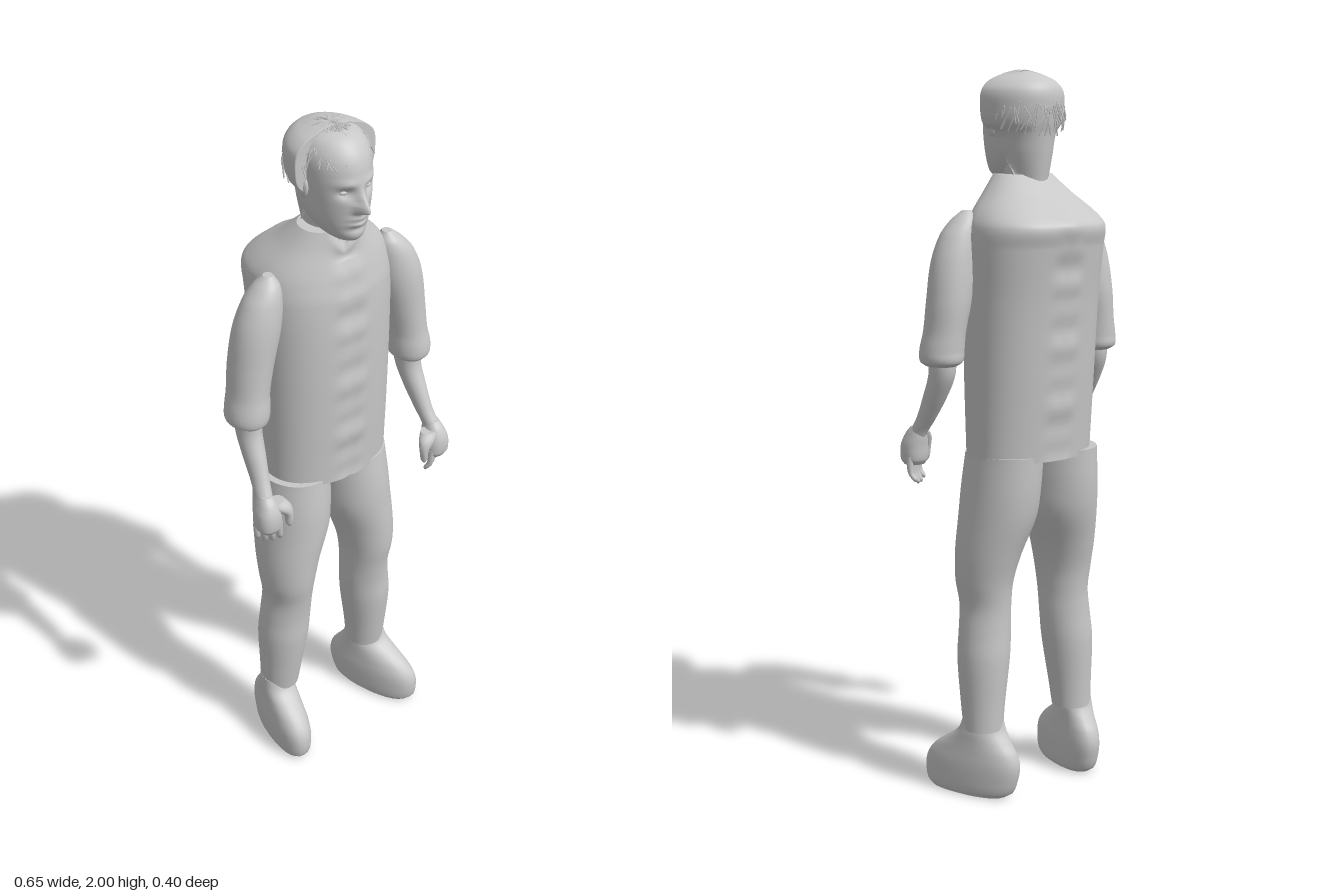
import * as THREE from 'three';
import { mergeGeometries } from 'three/addons/utils/BufferGeometryUtils.js';

const clay = new THREE.MeshStandardMaterial({ color: 0xc8c8c8 });
clay.name = 'clay grey';

// Smooth loft through level rows [y, xMin, xMax, zMin, zMax], listed bottom to top
function loft(rows, { segs = 28, steps = 6, power = 2, bend = null } = {}) {
  const n = rows.length, rings = [];
  const slope = (i, k) => {
    const a = rows[Math.max(i - 1, 0)], b = rows[Math.min(i + 1, n - 1)];
    return (b[k] - a[k]) / (b[0] - a[0]);
  };
  for (let i = 0; i < n - 1; i++) {
    const h = rows[i + 1][0] - rows[i][0];
    for (let s = 0; s < steps + (i === n - 2 ? 1 : 0); s++) {
      const t = s / steps, t2 = t * t, t3 = t2 * t;
      rings.push(rows[i].map((v, k) => k === 0 ? v + h * t
        : (2 * t3 - 3 * t2 + 1) * v + (t3 - 2 * t2 + t) * h * slope(i, k)
        + (3 * t2 - 2 * t3) * rows[i + 1][k] + (t3 - t2) * h * slope(i + 1, k)));
    }
  }
  const pos = [], index = [], p = new THREE.Vector3();
  const put = (x, y, z) => {
    p.set(x, y, z);
    if (bend) bend(p);
    pos.push(p.x, p.y, p.z);
  };
  const ringOut = ([y, x0, x1, z0, z1]) => {
    for (let j = 0; j < segs; j++) {
      const a = j / segs * Math.PI * 2, c = Math.cos(a), s = Math.sin(a);
      const e = (v) => Math.sign(v) * Math.abs(v) ** (2 / power);
      put((x0 + x1) / 2 + (x1 - x0) / 2 * e(c), y, (z0 + z1) / 2 + (z1 - z0) / 2 * e(s));
    }
  };
  rings.forEach(ringOut);
  for (let i = 0; i < rings.length - 1; i++) for (let j = 0; j < segs; j++) {
    const a = i * segs + j, b = i * segs + (j + 1) % segs;
    index.push(a, a + segs, b, b, a + segs, b + segs);
  }
  // crisp end caps
  [[rings[0], 0], [rings[rings.length - 1], 1]].forEach(([r, top]) => {
    const base = pos.length / 3;
    ringOut(r);
    put((r[1] + r[2]) / 2, r[0], (r[3] + r[4]) / 2);
    for (let j = 0; j < segs; j++) {
      const a = base + j, b = base + (j + 1) % segs;
      index.push(base + segs, top ? b : a, top ? a : b);
    }
  });
  const g = new THREE.BufferGeometry();
  g.setAttribute('position', new THREE.Float32BufferAttribute(pos, 3));
  g.setIndex(index);
  g.computeVertexNormals();
  return g;
}

// Rows for the left side, or their mirror image on the right
const sided = (rows, s) => s > 0 ? rows
  : rows.map(([y, a, b, c, d]) => [y, -b - 0.006, -a - 0.006, c, d]);

function add(parent, name, geometry) {
  const m = new THREE.Mesh(geometry, clay);
  m.name = name;
  parent.add(m);
}

const bump = (d, w) => Math.exp(-d * d / (w * w));

// Nose, sockets, lips and chin pushed out of the smooth head
function faceRule(p) {
  if (p.z < 0.06) return;
  const { x, y } = p, ax = Math.abs(x);
  const noseY = y > 1.815 ? bump(y - 1.815, 0.035) : bump(y - 1.815, 0.011);
  p.z += 0.036 * noseY * bump(x, y > 1.83 ? 0.011 : 0.015);
  p.z -= 0.014 * bump(ax - 0.034, 0.018) * bump(y - 1.858, 0.013);
  p.z += 0.005 * bump(ax - 0.034, 0.026) * bump(y - 1.883, 0.01);
  p.z += 0.009 * bump(x, 0.024) * (bump(y - 1.788, 0.006) + bump(y - 1.772, 0.006));
  p.z -= 0.005 * bump(x, 0.03) * bump(y - 1.755, 0.008);
}

// Ripples along the button line and spine, and a V neckline
function shirtRule(p) {
  const ax = Math.abs(p.x - 0.005);
  const wave = Math.sin(p.y * 75) * 0.5 + Math.sin(p.y * 41) * 0.5;
  p.z += Math.sign(p.z) * 0.005 * wave * bump(ax - 0.02, 0.025);
  if (p.z < 0) p.z -= 0.007 * bump(ax, 0.02) * bump(p.y - 1.6, 0.06);
  else p.z -= 0.004 * bump(ax, 0.006);
  if (p.z > 0.03 && p.y > 1.64) p.y -= Math.max(0, 1 - ax / 0.045) * 0.055 * (p.y - 1.64) / 0.085;
}

function buildHead(g) {
  add(g, 'neck', loft([[1.6, -0.06, 0.06, -0.05, 0.07], [1.68, -0.055, 0.055, -0.045, 0.075],
    [1.78, -0.058, 0.058, -0.05, 0.085]]));
  add(g, 'head', loft([
    [1.712, -0.02, 0.02, 0.05, 0.125], [1.722, -0.038, 0.038, 0.02, 0.146], [1.74, -0.056, 0.056, -0.01, 0.155],
    [1.78, -0.075, 0.075, -0.05, 0.158], [1.83, -0.083, 0.083, -0.07, 0.163], [1.88, -0.088, 0.088, -0.08, 0.162],
    [1.93, -0.088, 0.088, -0.08, 0.152], [1.965, -0.074, 0.074, -0.06, 0.13], [1.985, -0.05, 0.05, -0.03, 0.1],
    [1.995, -0.015, 0.015, 0.01, 0.05]], { segs: 112, steps: 9, bend: faceRule }));
  for (const s of [1, -1]) {
    const eye = new THREE.SphereGeometry(0.011, 14, 10);
    eye.scale(1.2, 0.6, 0.7);
    eye.translate(s * 0.033, 1.858, 0.137);
    add(g, 'eye', eye);
    const ear = new THREE.SphereGeometry(0.03, 14, 10);
    ear.scale(0.3, 1, 0.6);
    ear.translate(s * 0.09, 1.855, 0.05);
    add(g, 'ear', ear);
  }
  // hair shell with a flat front edge behind the face
  add(g, 'hairShell', loft([
    [1.71, -0.055, 0.055, -0.055, 0.12], [1.78, -0.07, 0.07, -0.065, 0.13], [1.835, -0.088, 0.088, -0.072, 0.18],
    [1.86, -0.112, 0.112, -0.076, 0.19], [1.9, -0.12, 0.12, -0.082, 0.2], [1.945, -0.116, 0.116, -0.08, 0.19],
    [1.972, -0.09, 0.09, -0.06, 0.17], [1.988, -0.05, 0.05, -0.025, 0.12], [1.996, -0.02, 0.02, 0.01, 0.08]],
  { segs: 48, bend: (p) => { p.z = Math.min(p.z, 0.06 - Math.max(0, 1.84 - p.y) * 0.6); } }));

  // loose strands combed from the crown
  let seed = 7;
  const rnd = () => (seed = (seed * 16807) % 2147483647) / 2147483647;
  const strands = [];
  for (let i = 0; i < 260; i++) {
    const a0 = rnd() * Math.PI * 2, back = (1 - Math.sin(a0)) / 2;
    const reach = 1.05 + 1.0 * back, start = rnd() * 0.75 * reach;
    const end = Math.min(start + 0.35 + rnd() * 0.5, reach), twist = (rnd() - 0.5) * 0.8;
    const pts = [];
    for (let k = 0; k < 4; k++) {
      const t = k / 3, th = start + (end - start) * t, a = a0 + twist * t;
      const lift = 1 + 0.025 * rnd() + (k === 3 ? 0.03 : 0);
      const rx = 0.094 + 0.02 * back;
      pts.push(new THREE.Vector3(rx * lift * Math.sin(th) * Math.cos(a),
        Math.min(1.882 + 0.114 * lift * Math.cos(th), 1.998), 0.036 + 0.119 * lift * Math.sin(th) * Math.sin(a)));
    }
    strands.push(new THREE.TubeGeometry(new THREE.CatmullRomCurve3(pts), 6, 0.002, 4));
  }
  add(g, 'hairStrands', mergeGeometries(strands));
}

function buildArm(g, s) {
  const part = (name, rows, opt) => add(g, name, loft(sided(rows, s), opt));
  part('sleeve', [
    [1.228, 0.222, 0.302, 0.0, 0.095], [1.24, 0.208, 0.318, -0.018, 0.106], [1.27, 0.203, 0.319, -0.02, 0.108],
    [1.32, 0.2, 0.309, -0.022, 0.102], [1.4, 0.182, 0.301, -0.026, 0.1], [1.5, 0.158, 0.286, -0.02, 0.099],
    [1.57, 0.152, 0.258, -0.01, 0.09], [1.61, 0.156, 0.225, 0.002, 0.075], [1.635, 0.17, 0.195, 0.022, 0.05]]);
  part('forearm', [
    [0.99, 0.258, 0.304, 0.12, 0.172], [1.03, 0.256, 0.3, 0.11, 0.165], [1.08, 0.247, 0.294, 0.075, 0.138],
    [1.14, 0.236, 0.294, 0.035, 0.112], [1.2, 0.228, 0.294, 0.005, 0.088], [1.26, 0.225, 0.295, 0, 0.085]]);
  part('palm', [
    [0.945, 0.252, 0.306, 0.13, 0.182], [0.96, 0.245, 0.315, 0.12, 0.19], [1.0, 0.246, 0.314, 0.115, 0.19],
    [1.03, 0.254, 0.304, 0.112, 0.178], [1.05, 0.262, 0.295, 0.115, 0.16]], { power: 2.4 });
  // four hanging fingers
  for (let f = 0; f < 4; f++) {
    const x = 0.254 + f * 0.0165, z = 0.172 - f * 0.011, low = 0.888 + 0.008 * Math.abs(f - 1.5);
    const row = (y, r, dx, dz) => [y, x + dx - r, x + dx + r, z + dz - r, z + dz + r];
    part('finger', [row(low, 0.003, -0.008, -0.012), row(low + 0.008, 0.008, -0.006, -0.01),
      row(0.925, 0.0085, 0, -0.002), row(0.97, 0.01, 0.002, 0)], { segs: 10, steps: 4 });
  }
  // thumb reaching inward
  part('thumb', [
    [0.945, 0.222, 0.23, 0.172, 0.18], [0.955, 0.217, 0.236, 0.165, 0.186], [0.985, 0.214, 0.24, 0.16, 0.188],
    [1.01, 0.216, 0.268, 0.148, 0.186], [1.03, 0.23, 0.285, 0.135, 0.175]], { segs: 14 });
}

function buildLeg(g, s) {
  add(g, 'trouserLeg', loft(sided([
    [0.195, 0.1, 0.212, -0.045, 0.068], [0.27, 0.092, 0.215, -0.048, 0.08], [0.4, 0.074, 0.219, -0.055, 0.097],
    [0.48, 0.068, 0.211, -0.052, 0.1], [0.55, 0.067, 0.203, -0.052, 0.108], [0.62, 0.06, 0.212, -0.06, 0.12],
    [0.7, 0.04, 0.214, -0.08, 0.125], [0.8, 0.004, 0.207, -0.108, 0.128], [0.88, -0.004, 0.2, -0.12, 0.126],
    [0.98, -0.008, 0.19, -0.125, 0.115]], s), { segs: 32 }));
  // shoe, sheared so that the toe turns outward
  const turn = s > 0 ? 0.35 : -0.1, x = s > 0 ? 0.155 : -0.173;
  const shoe = [[0.005, 0.046, -0.055, 0.165], [0.02, 0.053, -0.075, 0.178], [0.06, 0.056, -0.09, 0.184],
    [0.1, 0.056, -0.095, 0.176], [0.135, 0.053, -0.085, 0.148], [0.165, 0.051, -0.064, 0.108],
    [0.195, 0.05, -0.045, 0.07], [0.23, 0.046, -0.036, 0.055]];
  add(g, 'shoe', loft(shoe.map(([y, r, a, b]) => [y - 0.005, x - r, x + r, a, b]),
    { power: 2.3, bend: (p) => { p.x += turn * p.z; } }));
}

export function createModel() {
  const model = new THREE.Group();
  model.name = 'standingMan';
  const group = (name) => {
    const g = new THREE.Group();
    g.name = name;
    model.add(g);
    return g;
  };
  add(model, 'shirt', loft([
    [0.965, -0.175, 0.19, -0.13, 0.122], [1.18, -0.178, 0.195, -0.15, 0.13], [1.4, -0.182, 0.2, -0.168, 0.132],
    [1.54, -0.187, 0.204, -0.185, 0.126], [1.595, -0.183, 0.198, -0.193, 0.116], [1.63, -0.164, 0.178, -0.158, 0.108],
    [1.68, -0.12, 0.13, -0.088, 0.097], [1.727, -0.082, 0.085, -0.032, 0.09]],
  { segs: 96, steps: 14, power: 2.3, bend: shirtRule }));
  buildHead(group('headGroup'));
  for (const [s, side] of [[1, 'left'], [-1, 'right']]) {
    buildArm(group(side + 'Arm'), s);
    buildLeg(group(side + 'Leg'), s);
  }
  return model;
}
